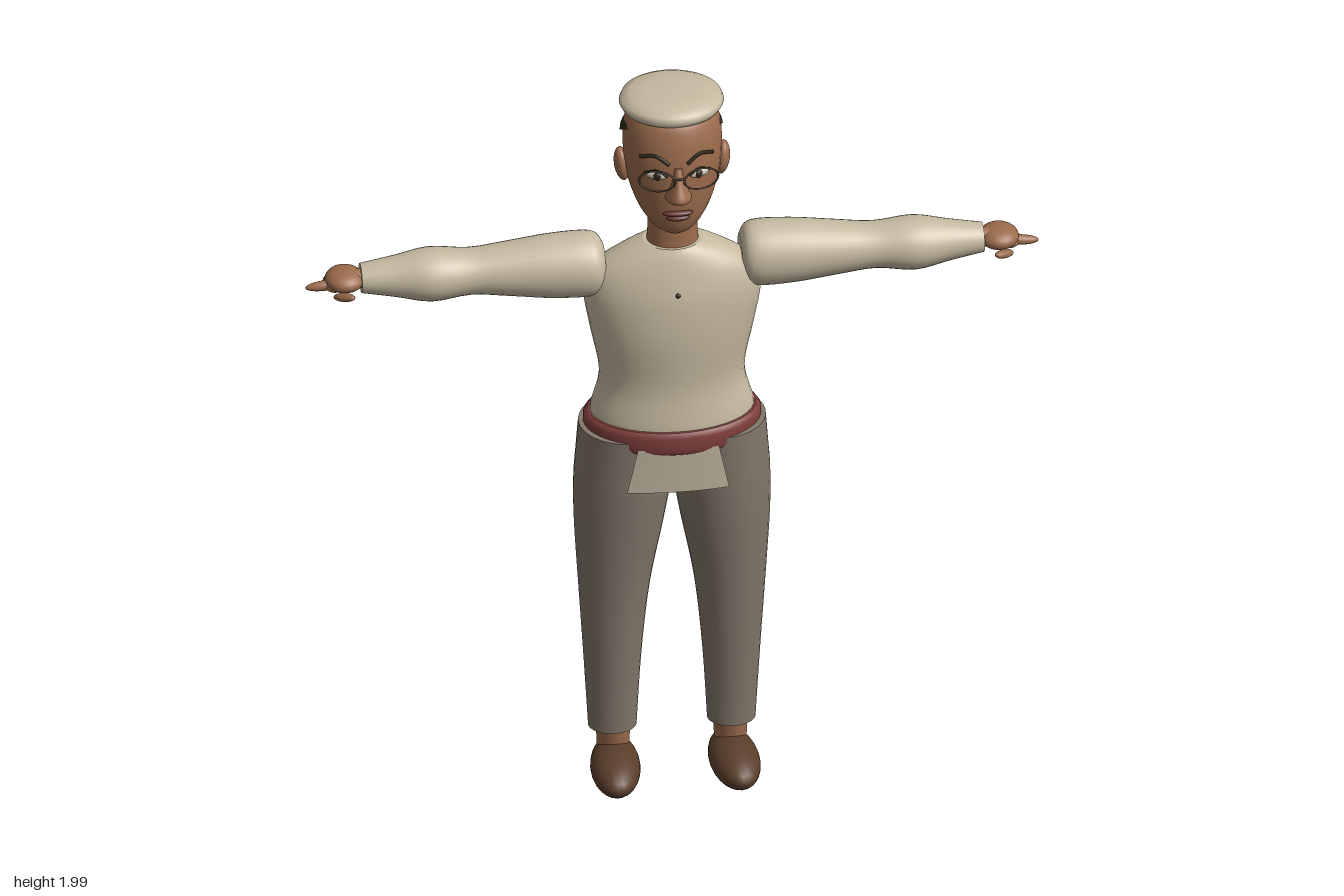
import * as THREE from 'three';

const paint = (name, color) => Object.assign(new THREE.MeshStandardMaterial({ color }), { name });
const linen = paint('linen', 0xc6baa1);
const cloth = paint('linenFlap', 0xbdb29c);
cloth.side = THREE.DoubleSide;
const wool = paint('trouserWool', 0x82776a);
const sash = paint('sashRed', 0x803f3c);
const skin = paint('skin', 0x9c6c4d);
const leather = paint('leather', 0x5a3e2b);
const hairDark = paint('hairDark', 0x30281e);
const lipRed = paint('lipRed', 0x63332c);
const eyeWhite = paint('eyeWhite', 0xd6cdbc);
const wire = paint('wire', 0x4a3c2c);

// Smooth capped body through elliptical sections [y, centreX, radiusX, centreZ, radiusZ]
function loft(sections, segs = 32, steps = 4) {
  const rows = [];
  const at = i => sections[THREE.MathUtils.clamp(i, 0, sections.length - 1)];
  for (let i = 0; i < sections.length - 1; i++) {
    for (let k = 0; k < steps; k++) {
      const t = k / steps;
      rows.push(at(i).map((p1, n) => {
        const p0 = at(i - 1)[n], p2 = at(i + 1)[n], p3 = at(i + 2)[n];
        return p1 + 0.5 * t * (p2 - p0 + t * (2 * p0 - 5 * p1 + 4 * p2 - p3 + t * (3 * (p1 - p2) + p3 - p0)));
      }));
    }
  }
  rows.push(at(sections.length - 1));
  const pos = [], idx = [];
  const ring = ([y, cx, rx, cz, rz]) => {
    for (let j = 0; j < segs; j++) {
      const a = j / segs * Math.PI * 2;
      pos.push(cx + rx * Math.cos(a), y, cz + rz * Math.sin(a));
    }
  };
  rows.forEach(ring);
  for (let i = 0; i < rows.length - 1; i++) {
    for (let j = 0; j < segs; j++) {
      const a = i * segs + j, b = i * segs + (j + 1) % segs;
      idx.push(a, a + segs, b, b, a + segs, b + segs);
    }
  }
  // Flat end caps with their own vertices
  [[rows[0], false], [rows[rows.length - 1], true]].forEach(([row, top]) => {
    const base = pos.length / 3;
    ring(row);
    pos.push(row[1], row[0], row[3]);
    for (let j = 0; j < segs; j++) {
      const a = base + j, b = base + (j + 1) % segs;
      idx.push(base + segs, top ? b : a, top ? a : b);
    }
  });
  const geo = new THREE.BufferGeometry();
  geo.setAttribute('position', new THREE.Float32BufferAttribute(pos, 3));
  geo.setIndex(idx);
  geo.computeVertexNormals();
  return geo;
}

function add(parent, name, geo, mat, position = [0, 0, 0], rotation = [0, 0, 0]) {
  const mesh = new THREE.Mesh(geo, mat);
  mesh.name = name;
  mesh.position.set(...position);
  mesh.rotation.set(...rotation);
  parent.add(mesh);
  return mesh;
}

const blob = (x, y, z) => new THREE.SphereGeometry(1, 24, 16).scale(x, y, z);

const HEAD = [
  [1.635, 0, 0.028, 0.04, 0.035], [1.652, 0, 0.058, 0.025, 0.068], [1.69, 0, 0.086, 0.01, 0.097],
  [1.74, 0, 0.107, 0, 0.112], [1.8, 0, 0.12, -0.004, 0.118], [1.86, 0, 0.125, -0.01, 0.121],
  [1.92, 0, 0.121, -0.018, 0.117], [1.96, 0, 0.1, -0.02, 0.098], [1.98, 0, 0.05, -0.02, 0.05],
];

// Depth of the face surface at a given x and y
function faceZ(x, y) {
  const i = HEAD.findIndex(s => s[0] > y);
  const t = (y - HEAD[i - 1][0]) / (HEAD[i][0] - HEAD[i - 1][0]);
  const [, , rx, cz, rz] = HEAD[i].map((v, n) => THREE.MathUtils.lerp(HEAD[i - 1][n], v, t));
  return cz + rz * Math.sqrt(Math.max(0, 1 - (x / rx) ** 2));
}

// Thin tube lying on the face
function faceLine(points, radius, lift) {
  const curve = new THREE.CatmullRomCurve3(points.map(([x, y]) => new THREE.Vector3(x, y, faceZ(x, y) + lift)));
  return new THREE.TubeGeometry(curve, 12, radius, 6);
}

function buildHead() {
  const head = new THREE.Group();
  head.name = 'head';
  add(head, 'skull', loft(HEAD), skin);
  add(head, 'neck', loft([[1.52, 0, 0.075, -0.008, 0.06], [1.6, 0, 0.063, -0.008, 0.055], [1.72, 0, 0.066, -0.012, 0.06]]), skin);
  add(head, 'nose', loft([
    [1.755, 0, 0.014, 0.105, 0.015], [1.765, 0, 0.033, 0.112, 0.04], [1.78, 0, 0.029, 0.112, 0.052],
    [1.81, 0, 0.016, 0.11, 0.034], [1.85, 0, 0.01, 0.105, 0.014]], 20), skin);
  add(head, 'upperLip', blob(0.038, 0.008, 0.014), lipRed, [0, 1.716, 0.107]);
  add(head, 'lowerLip', blob(0.03, 0.009, 0.014), lipRed, [0, 1.701, 0.104]);

  // Hair wraps the back of the head, tilted down behind
  const hair = new THREE.SphereGeometry(1, 32, 12, 0, Math.PI * 2, 0, Math.PI / 2).scale(0.13, 0.082, 0.125);
  add(head, 'hair', hair, hairDark, [0, 1.887, -0.03], [-0.54, 0, 0]);
  add(head, 'hairUnderside', new THREE.CircleGeometry(1, 32).rotateX(Math.PI / 2).scale(0.13, 1, 0.125),
    hairDark, [0, 1.887, -0.03], [-0.54, 0, 0]);

  const capProfile = [[0, 1.944], [0.105, 1.945], [0.125, 1.955], [0.132, 1.968], [0.127, 1.982], [0.105, 1.993], [0.06, 1.999], [0, 2]];
  add(head, 'cap', new THREE.LatheGeometry(capProfile.map(p => new THREE.Vector2(...p)), 40), linen, [0, 0, -0.028])
    .scale.z = 0.92;

  for (const s of [1, -1]) {
    add(head, 'ear', blob(0.02, 0.047, 0.03), skin, [s * 0.126, 1.795, -0.018], [0, 0, -s * 0.12]);
    const z = faceZ(0.054, 1.828);
    add(head, 'eye', blob(0.027, 0.013, 0.01), eyeWhite, [s * 0.054, 1.828, z], [0, s * 0.4, 0]);
    add(head, 'pupil', blob(0.01, 0.011, 0.006), hairDark, [s * 0.053, 1.828, z + 0.008], [0, s * 0.4, 0]);
    add(head, 'upperLid', faceLine([[s * 0.027, 1.829], [s * 0.052, 1.843], [s * 0.083, 1.829]], 0.003, 0.006), hairDark);
    add(head, 'eyebrow', faceLine([[s * 0.022, 1.86], [s * 0.055, 1.88], [s * 0.092, 1.868]], 0.005, 0.001), hairDark);
    add(head, 'glassesRim', new THREE.TorusGeometry(0.045, 0.0028, 6, 32).scale(1, 0.66, 1), wire,
      [s * 0.056, 1.828, 0.131], [0, s * 0.22, 0]);
  }
  add(head, 'glassesBridge', new THREE.CylinderGeometry(0.0028, 0.0028, 0.026, 6), wire, [0, 1.835, 0.141], [0, 0, Math.PI / 2]);
  return head;
}

function buildArm(s) {
  const arm = new THREE.Group();
  arm.name = s > 0 ? 'leftArm' : 'rightArm';
  const turn = [0, 0, -s * Math.PI / 2];
  const sleeve = [
    [0.172, 0, 0.05, -0.02, 0.05], [0.2, 0, 0.083, -0.02, 0.079], [0.3, 0, 0.083, -0.02, 0.08],
    [0.41, 0, 0.07, -0.02, 0.07], [0.51, 0, 0.059, -0.02, 0.063], [0.61, 0, 0.068, -0.018, 0.073],
    [0.7, 0, 0.052, -0.019, 0.054], [0.785, 0, 0.037, -0.02, 0.04]];
  add(arm, 'sleeve', loft(sleeve), linen, [0, 1.505, 0], turn);
  add(arm, 'wrist', new THREE.CylinderGeometry(0.024, 0.027, 0.07, 16), skin, [s * 0.79, 1.505, -0.02], turn);
  add(arm, 'palm', blob(0.05, 0.028, 0.054), skin, [s * 0.825, 1.505, -0.022]);
  add(arm, 'finger', blob(0.05, 0.013, 0.014), skin, [s * 0.875, 1.493, -0.015], [0, 0, -s * 0.08]);
  add(arm, 'curledFingers', blob(0.03, 0.018, 0.04), skin, [s * 0.85, 1.493, -0.026]);
  add(arm, 'thumb', blob(0.034, 0.011, 0.013), skin, [s * 0.832, 1.484, 0.033], [0, s * 0.75, -s * 0.3]);
  return arm;
}

function buildLeg(s) {
  const leg = new THREE.Group();
  leg.name = s > 0 ? 'leftLeg' : 'rightLeg';
  const trouser = [
    [0.14, s * 0.15, 0.061, -0.02, 0.052], [0.35, s * 0.15, 0.073, -0.021, 0.07],
    [0.56, s * 0.146, 0.09, -0.02, 0.088], [0.75, s * 0.134, 0.113, -0.02, 0.108],
    [0.87, s * 0.125, 0.123, -0.019, 0.117], [0.96, s * 0.121, 0.121, -0.018, 0.12], [1.04, s * 0.118, 0.118, -0.016, 0.122]];
  add(leg, 'trouserLeg', loft(trouser), wool);
  // Calf showing through the torn cloth
  add(leg, 'bareCalf', blob(0.034, 0.05, 0.03), skin, [s * 0.15, 0.335, -0.066], [0, 0, s * 0.25]);
  add(leg, 'ankle', new THREE.CylinderGeometry(0.045, 0.04, 0.14, 20), skin, [s * 0.148, 0.115, -0.02], [0.1, 0, 0]);

  // Shoe: an egg with a flattened sole and a lower toe
  const shoe = blob(0.063, 0.052, 0.127);
  const p = shoe.attributes.position;
  for (let i = 0; i < p.count; i++) {
    const y = Math.max(p.getY(i), -0.044);
    p.setY(i, y > 0 ? y * (1 - p.getZ(i) * 0.8) : y);
  }
  shoe.computeVertexNormals();
  add(leg, 'shoe', shoe, leather, [s * 0.15, 0.05, 0.042], [0, s * 0.07, 0]);
  return leg;
}

// Curved cloth hanging from the waist, wider at its hem
function flapGeometry() {
  const geo = new THREE.PlaneGeometry(1, 0.125, 12, 1);
  const p = geo.attributes.position;
  for (let i = 0; i < p.count; i++) {
    const x = p.getX(i) * (p.getY(i) > 0 ? 0.205 : 0.258);
    p.setXYZ(i, x, p.getY(i), 0.143 * Math.sqrt(1 - (x / 0.35) ** 2));
  }
  geo.computeVertexNormals();
  return geo;
}

export function createModel() {
  const model = new THREE.Group();
  model.name = 'figure';
  model.add(buildHead());

  add(model, 'shirt', loft([
    [0.91, 0, 0.09, -0.018, 0.075], [0.97, 0, 0.17, -0.018, 0.115], [1.06, 0, 0.208, -0.018, 0.134],
    [1.18, 0, 0.183, -0.02, 0.122], [1.32, 0, 0.207, -0.018, 0.127], [1.43, 0, 0.224, -0.012, 0.114],
    [1.5, 0, 0.205, -0.008, 0.094], [1.55, 0, 0.135, -0.006, 0.075], [1.575, 0, 0.075, -0.006, 0.062]], 40), linen);
  add(model, 'shirtButton', blob(0.007, 0.007, 0.005), hairDark, [0, 1.47, 0.108]);
  add(model, 'belt', loft([
    [1.01, 0, 0.212, -0.018, 0.142], [1.022, 0, 0.221, -0.018, 0.148], [1.06, 0, 0.224, -0.018, 0.148],
    [1.073, 0, 0.212, -0.018, 0.14]], 48, 2), sash);
  add(model, 'frontFlap', flapGeometry(), cloth, [0, 0.9625, -0.02]);
  add(model, 'backFlap', flapGeometry(), cloth, [0, 0.9625, -0.018], [0, Math.PI, 0]);

  for (const s of [1, -1]) model.add(buildArm(s), buildLeg(s));
  return model;
}
